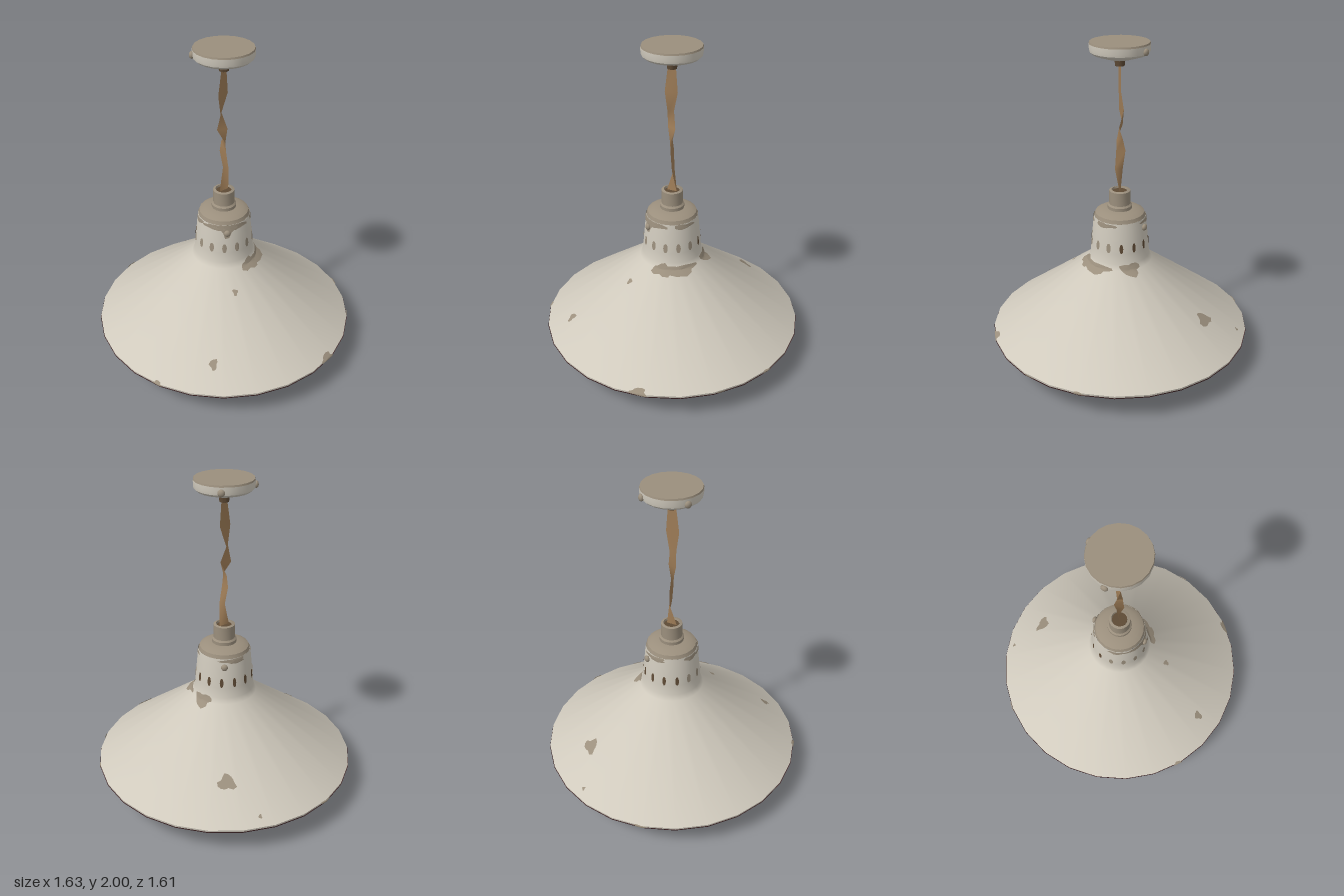
import * as THREE from 'three';
import { toCreasedNormals } from 'three/addons/utils/BufferGeometryUtils.js';

const SIDES = 26, STEP = (Math.PI * 2) / SIDES;

function material(name, color, side = THREE.FrontSide) {
  const m = new THREE.MeshStandardMaterial({ color, side });
  m.name = name;
  return m;
}

// Shade and housing outline, bottom to top: [radius, height]
const SHADE = [[0.808, 0.178], [0.81, 0.19], [0.2, 0.65], [0.184, 0.685], [0.178, 0.75], [0.164, 0.9], [0.158, 0.94]];

function shadeRadius(y) {
  for (let i = 1; i < SHADE.length; i++) {
    const [r0, y0] = SHADE[i - 1], [r1, y1] = SHADE[i];
    if (y <= y1) return r0 + (r1 - r0) * Math.max(0, (y - y0) / (y1 - y0));
  }
  return SHADE[SHADE.length - 1][0];
}

// Point on the faceted shade; angle runs from +z towards +x
function shadePoint(angle, y, offset) {
  const a = angle - STEP / 2;
  const t = a - Math.floor(a / STEP) * STEP - STEP / 2;
  const r = (shadeRadius(y) * Math.cos(STEP / 2)) / Math.cos(t) + offset;
  return [r * Math.sin(angle), y, r * Math.cos(angle)];
}

// Thin irregular patch that follows the shade surface
function patchGeometry(angle, y, w, h, offset, wobble = 0.22) {
  const n = 14, rings = 3, pos = [], index = [];
  for (let j = 0; j <= rings; j++) {
    for (let i = 0; i < n; i++) {
      const a = (i / n) * Math.PI * 2;
      const k = (j / rings) * (1 + wobble * Math.sin(a * 3 + angle * 5) + wobble * 0.5 * Math.cos(a * 5 + y * 9));
      const py = THREE.MathUtils.clamp(y + Math.sin(a) * k * h / 2, 0.18, 0.94);
      pos.push(...shadePoint(angle + (Math.cos(a) * k * w) / 2 / shadeRadius(y), py, offset));
      if (j < rings) {
        const p = j * n + i, q = j * n + (i + 1) % n;
        index.push(p, p + n, q, q, p + n, q + n);
      }
    }
  }
  const g = new THREE.BufferGeometry();
  g.setAttribute('position', new THREE.Float32BufferAttribute(pos, 3));
  g.setIndex(index);
  g.computeVertexNormals();
  return g;
}

function lathe(profile, sides) {
  const points = profile.map(([r, y]) => new THREE.Vector2(r, y));
  return toCreasedNormals(new THREE.LatheGeometry(points, sides, Math.PI / sides), 0.6);
}

export function createModel() {
  const model = new THREE.Group();
  model.name = 'pendantLamp';
  const enamel = material('enamel', 0xd0cabd, THREE.DoubleSide);
  const metal = material('wornMetal', 0x9b8f7d, THREE.DoubleSide);
  const cordCloth = material('cordCloth', 0xa07e58, THREE.DoubleSide);
  const rust = material('darkRust', 0x5e4a35, THREE.DoubleSide);
  const rimDark = material('darkRim', 0x452a2b, THREE.DoubleSide);

  const add = (name, geometry, mat, x = 0, y = 0, z = 0) => {
    const mesh = new THREE.Mesh(geometry, mat);
    mesh.name = name;
    mesh.position.set(x, y, z);
    model.add(mesh);
    return mesh;
  };

  // Shade with its housing, and the rim
  add('shade', lathe(SHADE, SIDES), enamel);
  add('shadeRim', lathe([[0.8, 0.179], [0.803, 0.173], [0.81, 0.173], [0.813, 0.182]], SIDES), rimDark);

  // Bare metal cap and cord neck
  add('housingCap', lathe([[0.158, 0.94], [0.15, 0.962], [0.12, 0.98], [0.075, 0.985], [0.075, 1.005], [0.065, 1.015],
    [0.065, 1.1], [0.05, 1.105], [0.045, 1.085], [0, 1.085]], 20), metal);
  add('neckPlug', new THREE.CylinderGeometry(0.046, 0.046, 0.006, 16), rust, 0, 1.09, 0);

  // Lamp holder and bulb
  add('lampHolder', lathe([[0.065, 0.4], [0.065, 0.95]], 16), metal);
  add('holderCollar', lathe([[0, 0.3], [0.068, 0.3], [0.08, 0.315], [0.08, 0.395], [0.065, 0.415]], 16), metal);
  add('bulb', lathe([[0, 0], [0.05, 0.008], [0.095, 0.038], [0.123, 0.08], [0.13, 0.125], [0.12, 0.17],
    [0.095, 0.215], [0.073, 0.255], [0.065, 0.31]], 16), metal);

  // Vent slots around the housing
  for (let i = 0; i < 14; i++) {
    const a = 0.35 + (i / 14) * Math.PI * 2;
    const back = Math.cos(a) < -0.3;
    add('ventSlot', patchGeometry(a, 0.785, back ? 0.022 : 0.028, 0.062, 0.004, 0), back ? rust : metal);
  }

  // Worn patches, on both faces of the shade: [x, z, height, width, tall]
  const worn = [
    [-0.2, -0.73, 0.23, 0.02, 0.015], [-0.01, -0.58, 0.36, 0.1, 0.055], [0.03, 0.32, 0.56, 0.03, 0.025],
    [-0.14, 0.65, 0.3, 0.045, 0.04], [-0.47, 0.65, 0.192, 0.06, 0.02], [0.57, 0.57, 0.195, 0.1, 0.035],
    [0.8, 0.15, 0.185, 0.06, 0.012], [0.78, -0.18, 0.187, 0.07, 0.016], [-0.6, -0.55, 0.187, 0.08, 0.015],
    [0.22, 0.07, 0.65, 0.22, 0.05], [0.15, -0.17, 0.66, 0.12, 0.065], [0.15, 0.17, 0.65, 0.11, 0.06],
  ];
  for (const [x, z, y, w, h] of worn)
    for (const offset of [0.007, -0.007]) add('wornPatch', patchGeometry(Math.atan2(x, z), y, w, h, offset), metal);

  // Worn upper edge of the housing
  for (const [a, w, h] of [[0, 0.09, 0.12], [0.4, 0.13, 0.04], [-0.45, 0.15, 0.04], [1.5, 0.14, 0.03], [3.5, 0.16, 0.03], [5, 0.1, 0.03]])
    add('wornEdge', patchGeometry(a, 0.925, w, h, 0.004), metal);

  // Ceiling canopy
  add('canopy', lathe([[0.03, 1.893], [0.07, 1.903], [0.155, 1.93], [0.172, 1.945], [0.175, 1.96], [0.175, 1.99]], 20), enamel);
  add('canopyTop', lathe([[0.175, 1.99], [0.172, 2], [0, 2]], 20), metal);
  add('canopyGland', lathe([[0, 1.862], [0.028, 1.862], [0.032, 1.9]], 12), rust);

  // Screws: direction angle, distance, height
  const screws = [[0, 0.172, 0.89], [Math.PI, 0.172, 0.89], [-Math.PI / 2, 0.177, 1.96], [Math.PI - 0.1, 0.177, 1.96]];
  for (const [a, d, y] of screws) {
    const screw = add('screw', new THREE.SphereGeometry(0.021, 10, 8), metal, d * Math.sin(a), y, d * Math.cos(a));
    screw.rotation.y = a;
    screw.scale.z = 0.7;
  }

  // Twisted flat cord: [height, xA, zA, xB, zB] for its two edges
  const cordSections = [
    [1.88, -0.015, 0.018, 0.015, -0.015], [1.72, -0.035, 0.028, 0.025, -0.022], [1.6, -0.021, 0.018, -0.012, -0.02],
    [1.5, -0.04, 0.004, 0.022, -0.008], [1.42, 0.006, 0.018, -0.014, -0.012], [1.35, 0.012, 0.018, -0.022, -0.026],
    [1.24, 0.027, 0.018, -0.003, -0.018], [1.08, 0.028, -0.018, -0.03, 0.022],
  ];
  const pos = [], index = [];
  cordSections.forEach(([y, xa, za, xb, zb], i) => {
    pos.push(xa, y, za, xb, y, zb);
    const k = i * 2;
    if (i) index.push(k - 2, k, k - 1, k - 1, k, k + 1);
  });
  const ribbon = new THREE.BufferGeometry();
  ribbon.setAttribute('position', new THREE.Float32BufferAttribute(pos, 3));
  ribbon.setIndex(index);
  ribbon.computeVertexNormals();
  add('cord', ribbon, cordCloth);

  return model;
}
